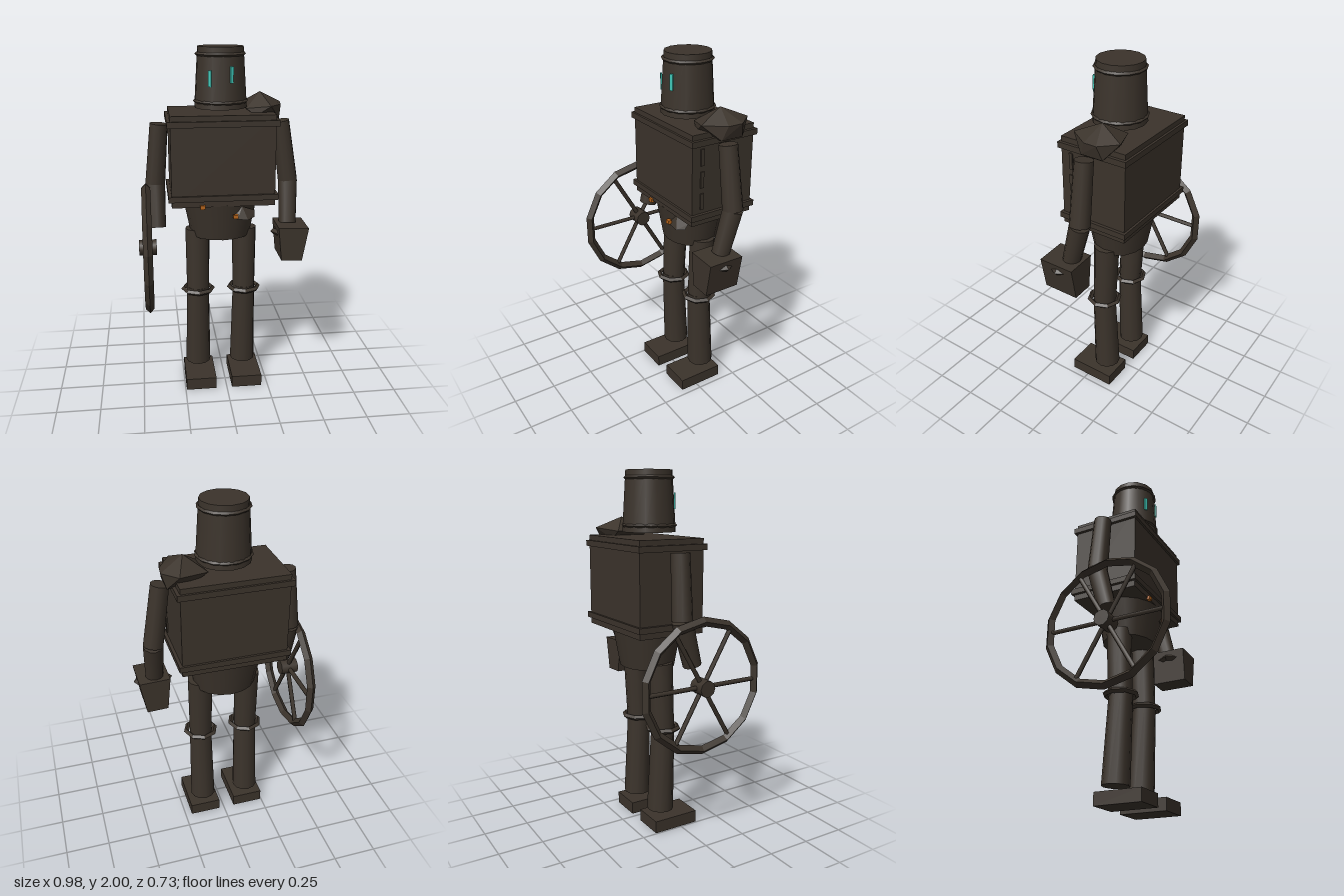
import * as THREE from 'three';
import { toCreasedNormals } from 'three/addons/utils/BufferGeometryUtils.js';
import { ConvexGeometry } from 'three/addons/geometries/ConvexGeometry.js';

const V = (x, y, z) => new THREE.Vector3(x, y, z);

export function createModel() {
  const iron = new THREE.MeshStandardMaterial({ color: 0x3b332b });
  const glow = new THREE.MeshStandardMaterial({ color: 0x40c8b8 });
  const copper = new THREE.MeshStandardMaterial({ color: 0xb8651b });
  const model = new THREE.Group();

  const add = (name, geo, x, y, z, mat = iron, parent = model) => {
    const mesh = new THREE.Mesh(geo, mat);
    mesh.name = name;
    mesh.position.set(x, y, z);
    parent.add(mesh);
    return mesh;
  };
  const box = (name, w, h, d, x, y, z, mat) => add(name, new THREE.BoxGeometry(w, h, d), x, y, z, mat);
  // Tapered tube from a (radius ra) down to b (radius rb)
  const limb = (name, a, b, ra, rb, sides = 12, parent = model) => {
    const dir = a.clone().sub(b);
    const mid = a.clone().add(b).multiplyScalar(0.5);
    const m = add(name, new THREE.CylinderGeometry(ra, rb, dir.length(), sides), mid.x, mid.y, mid.z, iron, parent);
    m.quaternion.setFromUnitVectors(V(0, 1, 0), dir.normalize());
    return m;
  };
  // Flat ring with a diamond-shaped section
  const ring = (name, r, tube, sides, x, y, z, parent = model) => {
    const g = toCreasedNormals(new THREE.TorusGeometry(r, tube, 4, sides).rotateX(Math.PI / 2), 0.5);
    return add(name, g, x, y, z, iron, parent);
  };

  // Torso with two trim bands
  const cx = -0.0175;
  box('torso', 0.575, 0.505, 0.385, cx, 1.3975, -0.1025);
  for (const y of [1.605, 1.195]) box('torsoBand', 0.61, 0.032, 0.41, cx, y, -0.1025);
  for (const y of [1.525, 1.402, 1.28]) box('sideVent', 0.008, 0.09, 0.02, 0.273, y, 0.03);

  // Head with rims and glowing eye slits
  add('head', new THREE.CylinderGeometry(0.126, 0.146, 0.325, 14), cx, 1.8375, -0.072);
  ring('headTopRim', 0.13, 0.01, 14, cx, 1.96, -0.072);
  ring('headBottomRim', 0.143, 0.01, 14, cx, 1.71, -0.072);
  for (const [x, y, z, turn] of [[-0.087, 1.838, 0.048, -0.5], [0.029, 1.858, 0.058, 0.35]]) {
    box('eye', 0.017, 0.085, 0.009, x, y, z, glow).rotation.y = turn;
  }

  // Faceted shoulder plate
  add('shoulderPlate', new ConvexGeometry([
    V(0.21, 1.75, -0.12),
    V(0.10, 1.675, -0.2), V(0.26, 1.69, -0.26), V(0.335, 1.685, -0.17),
    V(0.325, 1.68, -0.09), V(0.25, 1.685, 0.025), V(0.12, 1.67, -0.02),
    V(0.31, 1.605, -0.19), V(0.31, 1.605, -0.06), V(0.17, 1.63, 0), V(0.17, 1.63, -0.2),
  ]), 0, 0, 0);

  // Hips, belt fittings and pouch
  add('hips', new THREE.CylinderGeometry(0.216, 0.173, 0.215, 16).scale(1, 1, 0.85), cx, 1.043, -0.09);
  box('beltStud', 0.028, 0.022, 0.02, -0.135, 1.147, 0.093, copper);
  box('beltStud', 0.028, 0.022, 0.02, 0.05, 1.086, 0.093, copper);
  add('pouch', new ConvexGeometry([
    V(0.09, 1.135, 0.065), V(0.025, 1.085, 0.07), V(0.06, 1.068, 0.09), V(0.12, 1.062, 0.09),
    V(0.16, 1.07, 0.06), V(0.165, 1.105, 0.04), V(0.1, 1.06, 0), V(0.09, 1.11, 0),
  ]), 0, 0, 0);

  // Arms
  for (const [side, shoulder, elbow, wrist] of [
    ['left', V(0.325, 1.59, -0.09), V(0.378, 1.24, -0.095), V(0.37, 1.0, -0.03)],
    ['right', V(-0.36, 1.585, -0.09), V(-0.39, 1.24, -0.095), V(-0.388, 1.0, -0.03)],
  ]) {
    limb(side + 'UpperArm', shoulder, elbow, 0.05, 0.056);
    limb(side + 'Forearm', elbow, wrist, 0.056, 0.05);
  }

  // Left hand: a tapered block with a cuff ring
  const palm = new THREE.Shape([[-0.06, -0.1], [0.06, -0.1], [0.087, 0.095], [-0.087, 0.095]]
    .map(([x, y]) => new THREE.Vector2(x, y)));
  const handGeo = new THREE.ExtrudeGeometry(palm, { depth: 0.205, bevelEnabled: false }).translate(0, 0, -0.1025);
  add('hand', handGeo, 0.378, 0.911, 0.002).rotation.z = -0.04;
  ring('cuffRing', 0.092, 0.018, 6, 0.375, 0.96, 0);

  // Legs, knee rings and feet
  for (const [side, x] of [['right', -0.155], ['left', 0.12]]) {
    limb(side + 'Thigh', V(x + 0.002, 0.97, -0.085), V(x, 0.58, -0.07), 0.071, 0.066);
    limb(side + 'Shin', V(x, 0.61, -0.067), V(x - 0.003, 0.106, -0.087), 0.065, 0.075);
    ring(side + 'KneeRing', 0.086, 0.015, 8, x, 0.592, -0.067);
    box(side + 'Foot', 0.18, 0.07, 0.27, x + 0.001, 0.035, -0.03);
  }

  // Spoked wheel held beside the right arm
  const wheel = new THREE.Group();
  wheel.name = 'wheel';
  wheel.position.set(-0.445, 0.89, 0);
  model.add(wheel);
  const rim = toCreasedNormals(new THREE.TorusGeometry(0.35, 0.025, 4, 14), 0.3);
  add('wheelRim', rim.rotateZ(-Math.PI / 2).rotateY(Math.PI / 2), 0, 0, 0, iron, wheel);
  limb('wheelHub', V(0.05, 0, 0), V(-0.05, 0, 0), 0.045, 0.045, 10, wheel);
  for (let i = 0; i < 6; i++) {
    const a = i * Math.PI / 3;
    limb('wheelSpoke', V(0, 0.34 * Math.sin(a), 0.34 * Math.cos(a)), V(0, 0, 0), 0.013, 0.013, 6, wheel);
  }
  return model;
}
